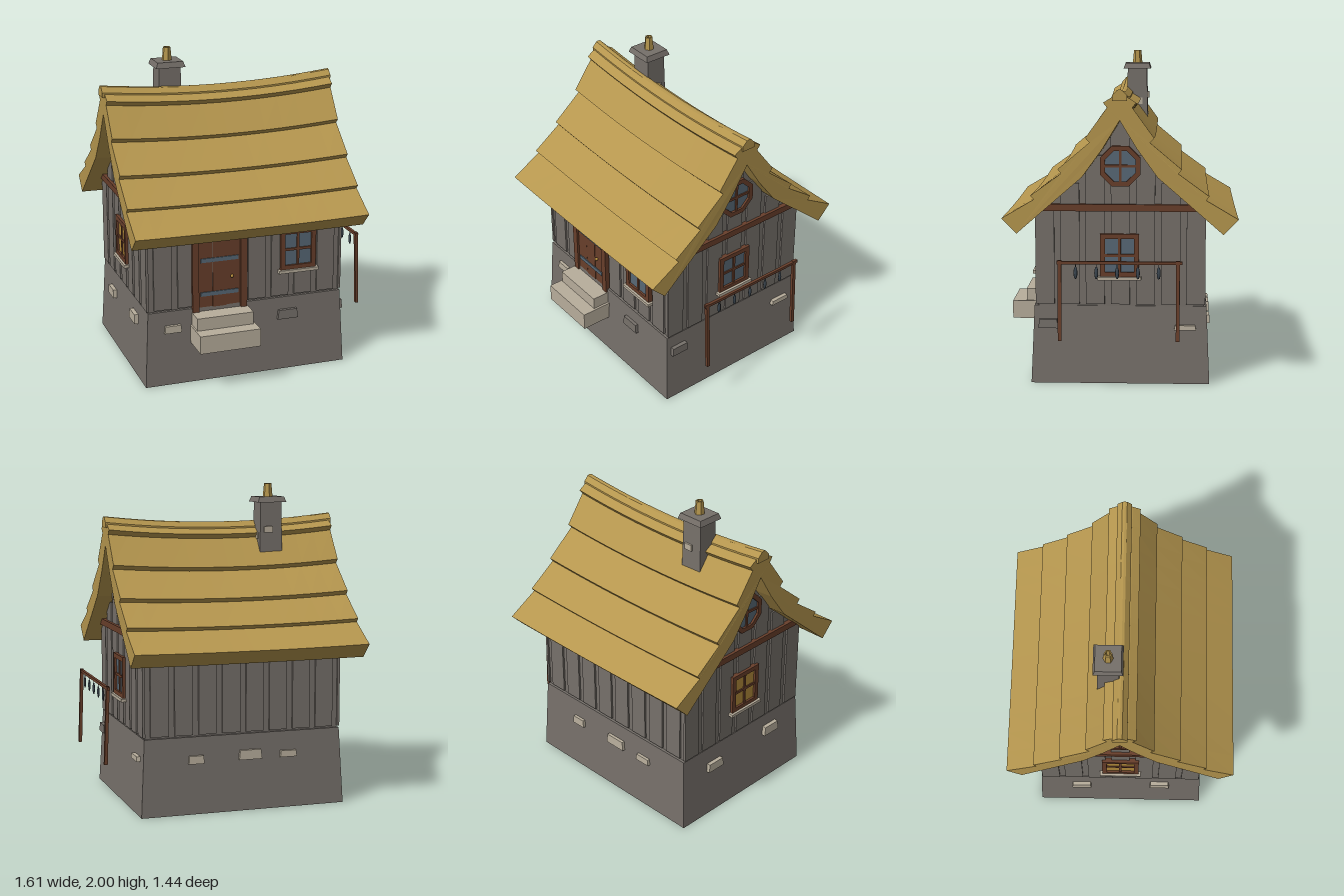
import * as THREE from 'three';

const mat = (name, color, side = THREE.FrontSide) =>
  Object.assign(new THREE.MeshStandardMaterial({ color, side }), { name });

export function createModel() {
  const root = new THREE.Group();
  root.name = 'cottage';
  const stone = mat('grey stone', 0x76706a, THREE.DoubleSide);
  const pale = mat('pale stone', 0xb8ae9c);
  const wood = mat('brown wood', 0x693f2b);
  const thatch = mat('straw thatch', 0xb5964e, THREE.DoubleSide);
  const glass = mat('blue glass', 0x586976);
  const amber = mat('amber glow', 0xb58c3c);
  const iron = mat('dark iron', 0x3d4852);

  const CX = -0.04, CZ = -0.01;     // centre of the house
  const HX = 0.63, HZ = 0.505;      // half sizes of the walls

  const add = (parent, name, geo, m, x = 0, y = 0, z = 0) => {
    const mesh = new THREE.Mesh(geo, m);
    mesh.name = name;
    mesh.position.set(x, y, z);
    parent.add(mesh);
    return mesh;
  };
  const box = (parent, name, m, x, y, z, w, h, d) =>
    add(parent, name, new THREE.BoxGeometry(w, h, d), m, x, y, z);
  const vecs = pts => pts.map(([x, y]) => new THREE.Vector2(x, y));
  const mirrored = half => [...half, ...half.filter(p => p[0] > 0).reverse().map(([z, y]) => [-z, y])];

  // Extrude a (z, y) outline along x from x0 to x1
  const extrudeX = (pts, x0, x1, steps) => {
    const g = new THREE.ExtrudeGeometry(new THREE.Shape(vecs(pts)), { depth: x1 - x0, steps, bevelEnabled: false });
    g.rotateY(Math.PI / 2);
    return g.translate(x0, 0, CZ);
  };
  // Four-sided tapered block
  const taper = (wt, dt, wb, db, h) => {
    const g = new THREE.BoxGeometry(1, h, 1), p = g.attributes.position;
    for (let i = 0; i < p.count; i++) {
      const top = p.getY(i) > 0;
      p.setX(i, p.getX(i) * (top ? wt : wb));
      p.setZ(i, p.getZ(i) * (top ? dt : db));
    }
    g.computeVertexNormals();
    return g;
  };

  // Foundation, open underneath
  let base = new THREE.CylinderGeometry(0.962 * Math.SQRT2, Math.SQRT2, 0.48, 4, 1, true);
  base.rotateY(Math.PI / 4).scale(0.66, 1, 0.545);
  base = base.toNonIndexed();
  base.computeVertexNormals();
  add(root, 'foundation', base, stone, CX, 0.24, CZ);
  box(root, 'foundationTop', stone, CX, 0.472, CZ, 1.27, 0.016, 1.046);

  // Walls with gables
  const under = z => {
    z = Math.abs(z);
    if (z > 0.226) return 1.28 - (z - 0.226) * 0.854;
    if (z > 0.103) return 1.45 - (z - 0.103) * 1.38;
    return 1.62 - z * 1.65;
  };
  const gable = mirrored([[0, 1.67], [0.103, 1.5], [0.226, 1.33], [HZ, 1.09], [HZ, 0.47]]);
  add(root, 'walls', extrudeX(gable, CX - HX, CX + HX, 1), stone);

  // Sagging thatch: one stepped outline swept along x
  const sag = g => {
    const p = g.attributes.position;
    for (let i = 0; i < p.count; i++) {
      const u = (p.getX(i) + 0.05) / 0.75, y = p.getY(i);
      p.setY(i, y - 0.045 * Math.max(0, (y - 0.85) / 0.95) * Math.max(0, 1 - u * u));
      p.setX(i, p.getX(i) + 0.012 * Math.sign(u) * Math.max(0, 1.4 - y));
    }
    g.computeVertexNormals();
    return g;
  };
  const outer = mirrored([
    [0, 1.775], [0.05, 1.755], [0.098, 1.725], [0.075, 1.695],
    [0.205, 1.515], [0.18, 1.488], [0.37, 1.328], [0.35, 1.302],
    [0.535, 1.168], [0.515, 1.145], [0.71, 1.03], [0.62, 0.938],
    [0.226, 1.28], [0.103, 1.45]]);
  // close the underside at its apex
  outer.splice(14, 0, [0, 1.62]);
  add(root, 'thatchedRoof', sag(extrudeX(outer, -0.79, 0.695, 12)), thatch);
  const cap = mirrored([[0, 1.803], [0.015, 1.8], [0.045, 1.768], [0.045, 1.735]]);
  add(root, 'ridgeCap', sag(extrudeX(cap, -0.805, 0.705, 12)), thatch);

  // One group per wall: local x runs along it, local z points outwards
  const side = (name, x, z, turn) => {
    const g = new THREE.Group();
    g.name = name;
    g.position.set(x, 0, z);
    g.rotation.y = turn;
    root.add(g);
    return g;
  };
  const front = side('frontWall', CX, CZ + HZ, 0);
  const back = side('backWall', CX, CZ - HZ, Math.PI);
  const left = side('leftGable', CX + HX, CZ, Math.PI / 2);
  const right = side('rightGable', CX - HX, CZ, -Math.PI / 2);

  // Vertical boards and corner strips
  const boards = (g, n, topOf) => {
    for (let i = 0; i < n; i++) {
      const u = (i - (n - 1) / 2) * 0.153, h = topOf(u) - 0.49;
      box(g, 'wallBoard', stone, u, 0.49 + h / 2, 0.004, 0.115, h, 0.016);
    }
  };
  boards(front, 8, () => 1.07);
  boards(back, 8, () => 1.07);
  for (const g of [left, right]) {
    boards(g, 7, u => under(u) + 0.02);
    box(g, 'crossBeam', wood, 0, 1.085, 0.012, 0.99, 0.042, 0.036);
  }

  // Frames cut from an outline with a hole
  const frame = (g, name, out, inn, x, y, depth = 0.03) => {
    const s = new THREE.Shape(vecs(out));
    s.holes.push(new THREE.Path(vecs(inn)));
    add(g, name, new THREE.ExtrudeGeometry(s, { depth, bevelEnabled: false }), wood, x, y, 0);
  };
  const rect = (w, h) => [[-w / 2, -h / 2], [w / 2, -h / 2], [w / 2, h / 2], [-w / 2, h / 2]];
  const octagon = r => Array.from({ length: 8 }, (_, i) => {
    const a = (i + 0.5) * Math.PI / 4;
    return [r * Math.cos(a), r * Math.sin(a)];
  });
  const bars = (g, x, y, w, h) => {
    box(g, 'windowBar', wood, x, y, 0.017, 0.016, h, 0.014);
    box(g, 'windowBar', wood, x, y, 0.017, w, 0.016, 0.014);
  };
  const squareWindow = (g, x, pane) => {
    const y = 0.793;
    frame(g, 'windowFrame', rect(0.235, 0.265), rect(0.175, 0.205), x, y);
    box(g, 'windowPane', pane, x, y, 0.013, 0.18, 0.21, 0.006);
    bars(g, x, y, 0.18, 0.21);
    box(g, 'windowSill', pale, x, 0.654, 0.02, 0.265, 0.02, 0.05);
  };
  const roundWindow = (g, pane) => {
    const y = 1.338;
    frame(g, 'roundWindowFrame', octagon(0.132), octagon(0.1), 0, y);
    add(g, 'roundWindowPane', new THREE.ExtrudeGeometry(new THREE.Shape(vecs(octagon(0.102))),
      { depth: 0.006, bevelEnabled: false }), pane, 0, y, 0.01);
    bars(g, 0, y, 0.19, 0.19);
  };
  squareWindow(front, 0.305 - CX, glass);
  squareWindow(left, -0.005, glass);
  squareWindow(right, 0, amber);
  roundWindow(left, glass);
  roundWindow(right, glass);

  // Door
  const door = new THREE.Group();
  door.name = 'door';
  door.position.x = -0.213 - CX;
  front.add(door);
  for (const s of [-1, 1]) box(door, 'doorJamb', wood, s * 0.157, 0.715, 0.015, 0.042, 0.52, 0.034);
  box(door, 'doorLintel', wood, 0, 0.953, 0.015, 0.356, 0.045, 0.038);
  for (const i of [-1, 0, 1]) box(door, 'doorPlank', wood, i * 0.091, 0.695, 0.01, 0.088, 0.48, 0.016 + (i ? 0 : 0.003));
  for (const y of [0.785, 0.565]) box(door, 'doorStrap', glass, 0, y, 0.021, 0.245, 0.026, 0.007);
  add(door, 'doorKnob', new THREE.SphereGeometry(0.011, 10, 8), amber, 0.078, 0.668, 0.03);

  // Entrance steps
  box(root, 'lowerStep', pale, -0.21, 0.318, 0.585, 0.39, 0.115, 0.27);
  box(root, 'upperStep', pale, -0.212, 0.415, 0.54, 0.365, 0.08, 0.18);

  // Odd stones set in the foundation: wall, along, height, width, tall, colour
  for (const [g, x, y, w, h, m] of [
    [front, -0.52 - CX, 0.367, 0.11, 0.046, pale], [front, 0.235 - CX, 0.37, 0.135, 0.06, stone],
    [left, -0.44, 0.37, 0.12, 0.055, stone], [left, 0.395, 0.35, 0.135, 0.03, pale],
    [back, -0.27 + CX, 0.34, 0.1, 0.05, pale], [back, 0.08 + CX, 0.35, 0.15, 0.06, pale],
    [back, 0.33 + CX, 0.34, 0.11, 0.04, pale],
    [right, -0.26, 0.345, 0.13, 0.055, pale], [right, 0.26, 0.37, 0.13, 0.06, pale]])
    add(g, 'foundationStone', taper(w * 0.9, 0.03, w, 0.034, h), m, x, y, g === front || g === back ? 0.028 : 0.02);

  // Chimney with cap and pot
  const chimney = new THREE.Group();
  chimney.name = 'chimney';
  chimney.position.set(-0.355, 0, -0.085);
  root.add(chimney);
  add(chimney, 'chimneyStack', taper(0.14, 0.125, 0.155, 0.145, 0.45), stone, 0, 1.66, 0);
  add(chimney, 'chimneyCap', taper(0.165, 0.155, 0.19, 0.178, 0.035), stone, 0, 1.9, 0);
  const pot = new THREE.LatheGeometry(vecs([[0.032, 1.91], [0.024, 2], [0.016, 2], [0.016, 1.92]]), 6).toNonIndexed();
  pot.computeVertexNormals();
  add(chimney, 'chimneyPot', pot, thatch);
  box(chimney, 'chimneyStone', pale, 0.02, 1.71, -0.068, 0.055, 0.04, 0.02);
  box(chimney, 'chimneyStone', pale, 0.07, 1.67, -0.015, 0.02, 0.04, 0.04);

  // Drying rail beside the gable
  const rail = new THREE.Group();
  rail.name = 'dryingRail';
  root.add(rail);
  box(rail, 'railBar', wood, 0.776, 0.778, -0.012, 0.018, 0.018, 0.75);
  for (const z of [0.345, -0.36]) {
    const post = box(rail, 'railPost', wood, 0.784, 0.548, z, 0.02, 0.486, 0.022);
    post.rotation.z = 0.035;
  }
  for (let i = 0; i < 5; i++) {
    const fish = add(rail, 'hangingFish', new THREE.SphereGeometry(1, 8, 6), iron, 0.777, 0.717, 0.25 - i * 0.124);
    fish.scale.set(0.008, 0.038, 0.012);
    box(rail, 'hangingString', iron, 0.777, 0.76, 0.25 - i * 0.124, 0.004, 0.03, 0.004);
  }
  return root;
}
